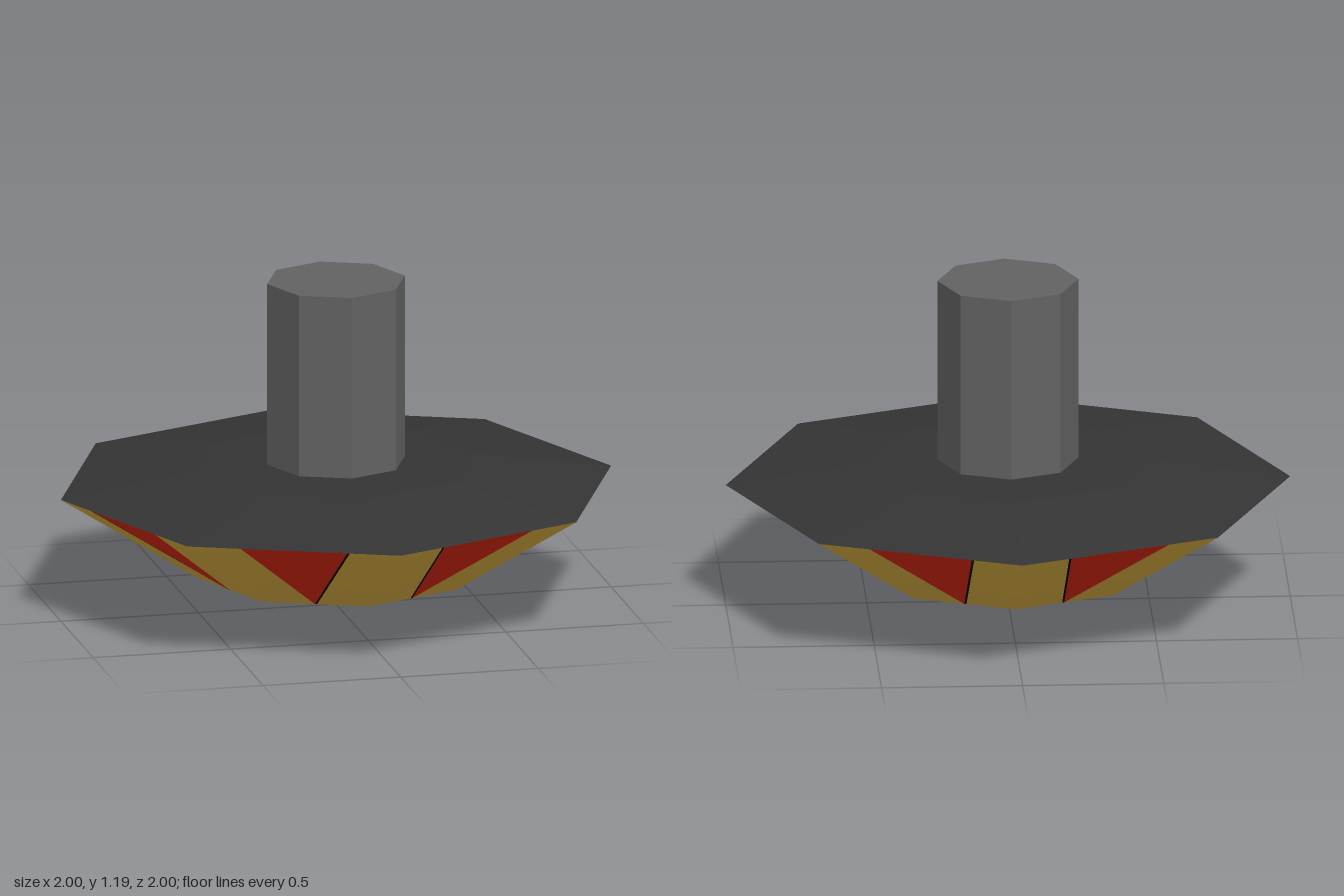
import * as THREE from 'three';

const mat = (name, color, flatShading = false) => {
  const m = new THREE.MeshStandardMaterial({ color, flatShading });
  m.name = name;
  return m;
};

const SIDES = 8;
const RIM = { r: 1, y: 0.445 }, RING = { r: 0.5, y: 0.125 }, TIP = { r: 0.035, y: 0.008 };

// Point on an octagonal ring: side index i, fraction t along that side
function ringPoint({ r, y }, i, t) {
  const corner = k => {
    const a = (k / SIDES) * Math.PI * 2;
    return new THREE.Vector3(r * Math.sin(a), y, r * Math.cos(a));
  };
  return corner(i).lerp(corner(i + 1), t);
}

// Smooth bowl normal, leaning outward towards the rim
function bowlNormal(p) {
  const r = Math.hypot(p.x, p.z);
  const lean = r < 0.5 ? r * 0.8 : 0.4 + (r - 0.5) * 0.5;
  return new THREE.Vector3(p.x / (r || 1) * lean, -1, p.z / (r || 1) * lean).normalize();
}

// Mesh from a list of convex polygons, each fanned from its first corner
function polygonMesh(name, polygons, material) {
  const pos = [], nor = [];
  for (const poly of polygons) {
    for (let k = 1; k < poly.length - 1; k++) {
      for (const p of [poly[0], poly[k], poly[k + 1]]) {
        pos.push(...p.toArray());
        nor.push(...bowlNormal(p).toArray());
      }
    }
  }
  const g = new THREE.BufferGeometry();
  g.setAttribute('position', new THREE.Float32BufferAttribute(pos, 3));
  g.setAttribute('normal', new THREE.Float32BufferAttribute(nor, 3));
  const mesh = new THREE.Mesh(g, material);
  mesh.name = name;
  return mesh;
}

export function createModel() {
  const gold = mat('gold', 0xd6ac40);
  const red = mat('red', 0xd62612);
  const black = mat('black', 0x080808);
  const charcoal = mat('charcoal', 0x343434, true);
  const grey = mat('grey', 0x626262, true);

  const model = new THREE.Group();
  model.name = 'octagonalSpinner';

  const addCylinder = (name, rTop, rBottom, y0, y1, open, material) => {
    const g = new THREE.CylinderGeometry(rTop, rBottom, y1 - y0, SIDES, 1, open);
    const mesh = new THREE.Mesh(g, material);
    mesh.position.y = (y0 + y1) / 2;
    mesh.name = name;
    model.add(mesh);
  };

  // Stem and shallow two-step roof
  addCylinder('stem', 0.25, 0.25, 0.5, 1.19, false, grey);
  addCylinder('roofOuter', 0.5, 1, RIM.y, 0.52, true, charcoal);
  addCylinder('roofInner', 0, 0.5, 0.52, 0.535, true, charcoal);

  // Bowl panels: a red wedge in each side, with a black line next to the four main corners
  const goldFaces = [], redFaces = [], blackFaces = [], tipFaces = [];
  for (let i = 0; i < SIDES; i++) {
    const rim = t => ringPoint(RIM, i, t), ring = t => ringPoint(RING, i, t);
    const strip = (b0, b1, t0, t1) => [ring(b0), ring(b1), rim(t1), rim(t0)];
    const lineLeft = i % 2 === 0;
    const top = 0.012, low = 0.02;

    redFaces.push([ring(0.5), rim(0.75), rim(0.25)]);
    if (lineLeft) {
      blackFaces.push(strip(0.5 - low, 0.5, 0.25 - top, 0.25));
      goldFaces.push(strip(0, 0.5 - low, 0, 0.25 - top), strip(0.5, 1, 0.75, 1));
    } else {
      blackFaces.push(strip(0.5, 0.5 + low, 0.75, 0.75 + top));
      goldFaces.push(strip(0, 0.5, 0, 0.25), strip(0.5 + low, 1, 0.75 + top, 1));
    }

    // Lower cone and its small dark tip
    const tip = t => ringPoint(TIP, i, t);
    goldFaces.push([tip(0), tip(1), ring(1), ring(0)]);
    tipFaces.push([new THREE.Vector3(0, 0, 0), tip(1), tip(0)]);
  }
  model.add(
    polygonMesh('bowl', goldFaces, gold),
    polygonMesh('redWedges', redFaces, red),
    polygonMesh('wedgeLines', blackFaces, black),
    polygonMesh('bowlTip', tipFaces, black)
  );
  return model;
}
